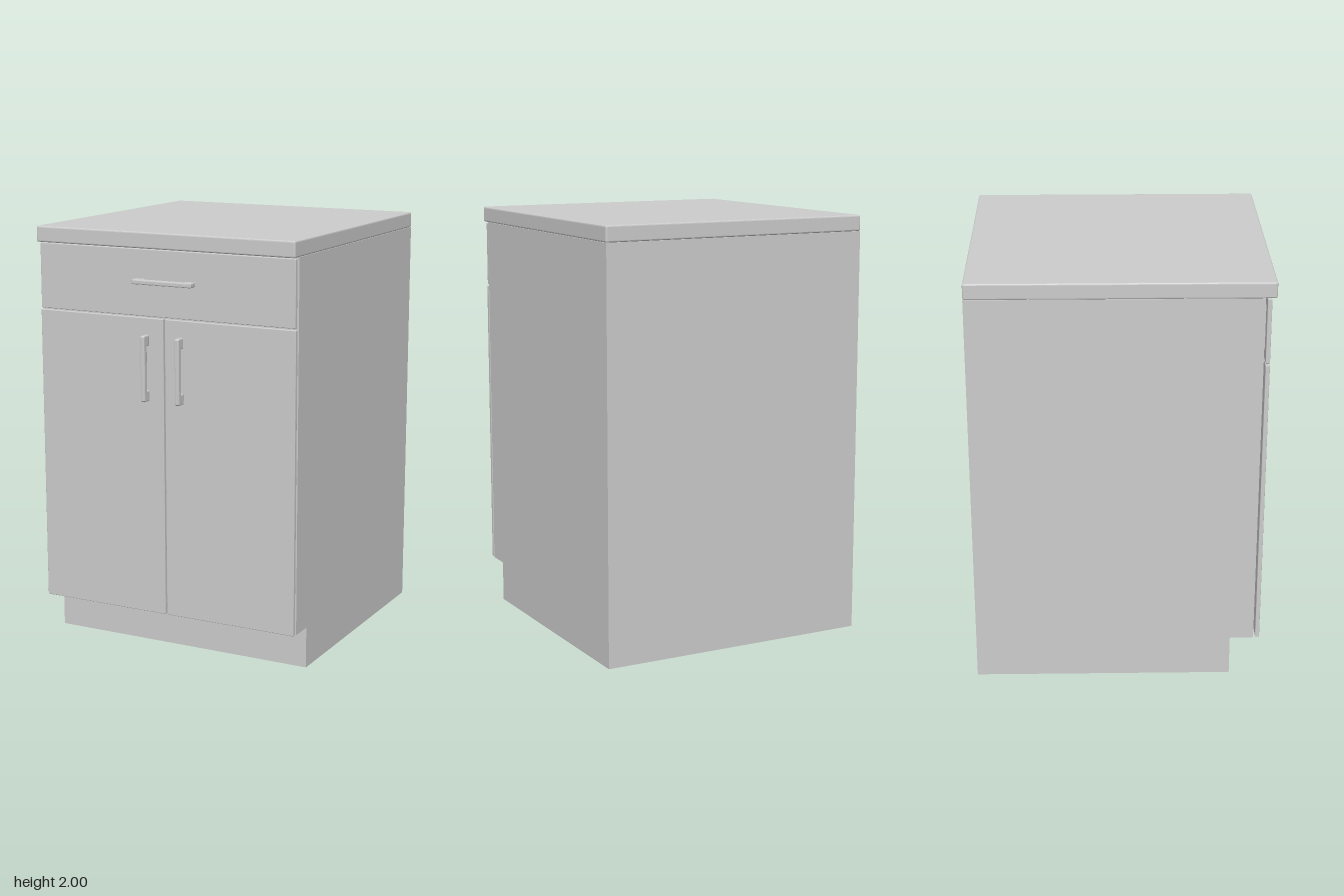
import * as THREE from 'three';
import { RoundedBoxGeometry } from 'three/addons/geometries/RoundedBoxGeometry.js';

const grey = new THREE.MeshStandardMaterial({ color: 0xcccccc, flatShading: true });

function add(parent, name, geometry, x = 0, y = 0, z = 0) {
  const mesh = new THREE.Mesh(geometry, grey);
  mesh.name = name;
  mesh.position.set(x, y, z);
  parent.add(mesh);
  return mesh;
}

// Box given by its extents, with slightly eased edges
function panel(parent, name, [x0, x1], [y0, y1], [z0, z1], ease) {
  const geometry = new RoundedBoxGeometry(x1 - x0, y1 - y0, z1 - z0, 2, ease);
  return add(parent, name, geometry, (x0 + x1) / 2, (y0 + y1) / 2, (z0 + z1) / 2);
}

function polygon(points) {
  return new THREE.Shape(points.map(([x, y]) => new THREE.Vector2(x, y)));
}

// Bridge-shaped pull lying along x, standing out toward +z, centred on the origin
function handleGeometry() {
  const bevel = 0.005, half = 0.154, depth = 0.047;
  const shape = polygon([
    [-half, 0], [-0.104, 0], [-0.104, 0.02], [0.104, 0.02], [0.104, 0],
    [half, 0], [half, depth - 0.006], [half - 0.006, depth],
    [-half + 0.006, depth], [-half, depth - 0.006],
  ]);
  const geometry = new THREE.ExtrudeGeometry(shape, {
    depth: 0.012, bevelThickness: bevel, bevelSize: bevel, bevelOffset: -bevel, bevelSegments: 2,
  });
  geometry.translate(0, 0, -0.006);
  geometry.rotateX(Math.PI / 2);
  return geometry;
}

export function createModel() {
  const cabinet = new THREE.Group();
  cabinet.name = 'baseCabinet';

  // Carcass: side profile with a recessed toe kick, extruded across the width
  const back = -0.7, front = 0.627, kick = 0.515, width = 1.324;
  const profile = polygon([
    [-back, 0], [-back, 1.925], [-front, 1.925], [-front, 0.195], [-kick, 0.195], [-kick, 0],
  ]);
  const carcass = new THREE.ExtrudeGeometry(profile, { depth: width, bevelEnabled: false });
  carcass.translate(0, 0, -width / 2);
  carcass.rotateY(Math.PI / 2);
  add(cabinet, 'carcass', carcass);

  // Worktop overhanging the front
  panel(cabinet, 'worktop', [-0.664, 0.664], [1.925, 2], [back, 0.678], 0.008);

  // Drawer front and the hidden box joining it to the carcass
  const frontZ = [0.636, 0.656];
  panel(cabinet, 'drawerFront', [-0.658, 0.658], [1.614, 1.92], frontZ, 0.003);
  add(cabinet, 'drawerBox', new THREE.BoxGeometry(1.2, 0.2, 0.02), 0, 1.77, 0.63);

  const pull = handleGeometry();
  add(cabinet, 'drawerHandle', pull, 0.009, 1.775, 0.654);

  // Pair of doors with upright handles near the centre line
  for (const [side, label] of [[-1, 'right'], [1, 'left']]) {
    const edges = side > 0 ? [0.004, 0.661] : [-0.661, -0.004];
    panel(cabinet, label + 'Door', edges, [0.197, 1.606], frontZ, 0.003);
    const handle = add(cabinet, label + 'DoorHandle', pull, side * 0.089, 1.375, 0.654);
    handle.rotation.z = Math.PI / 2;
  }
  return cabinet;
}
